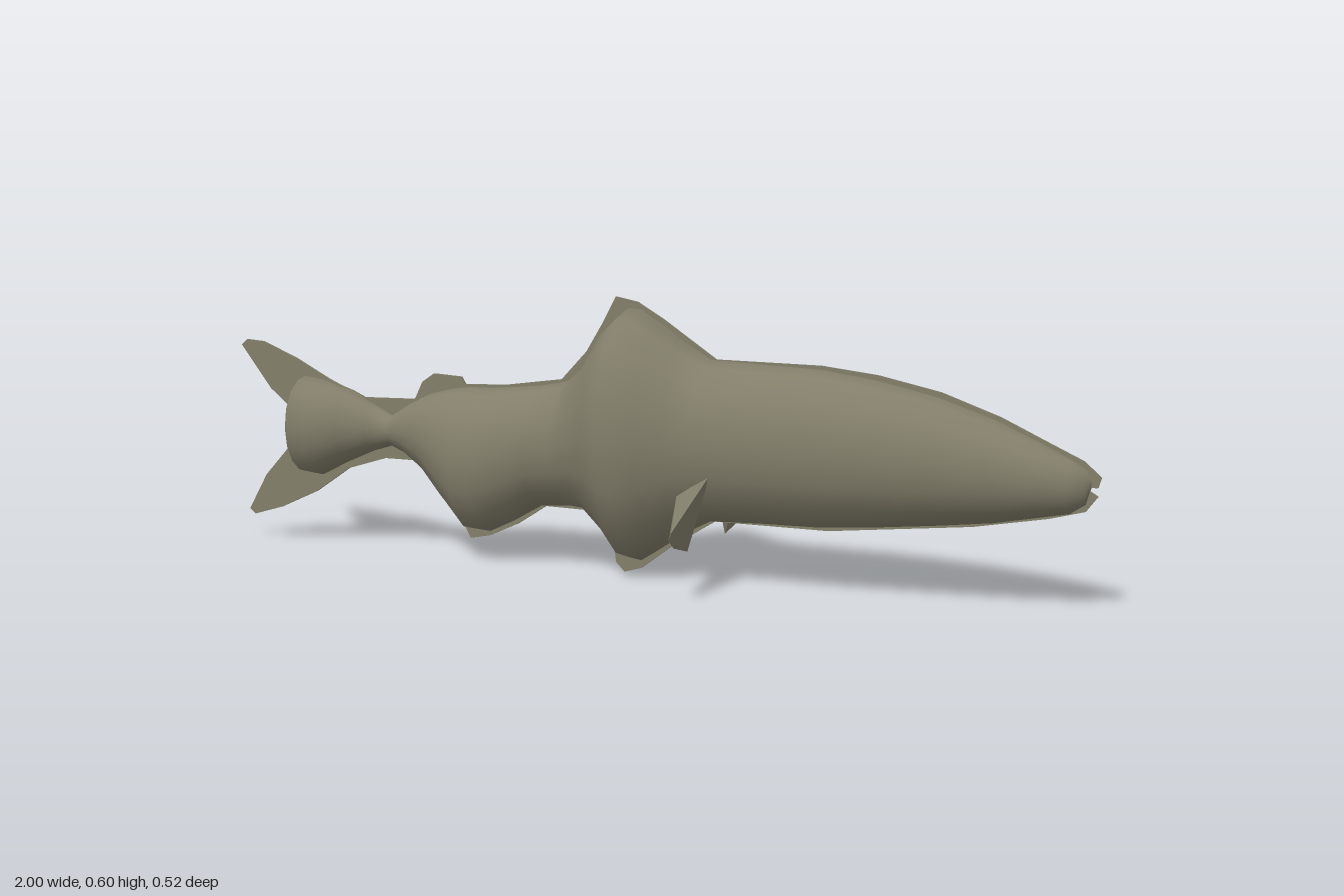
import * as THREE from 'three';

const SIDES = 16;

// Lofts elliptical cross-sections [x, top, bottom, halfWidth] along x
function loft(rings) {
  const pos = [], idx = [];
  rings.forEach(([x, top, bottom, w], i) => {
    for (let j = 0; j < SIDES; j++) {
      const a = (j / SIDES) * Math.PI * 2;
      pos.push(x, (top + bottom) / 2 + Math.cos(a) * (top - bottom) / 2, Math.sin(a) * w);
      if (i === rings.length - 1) continue;
      const k = (j + 1) % SIDES, p = i * SIDES, q = p + SIDES;
      idx.push(p + j, p + k, q + j, p + k, q + k, q + j);
    }
  });
  const g = new THREE.BufferGeometry();
  g.setAttribute('position', new THREE.Float32BufferAttribute(pos, 3));
  g.setIndex(idx);
  g.computeVertexNormals();
  return g;
}

export function createModel() {
  const group = new THREE.Group();
  const skin = new THREE.MeshStandardMaterial({ color: 0x827e6a });
  skin.name = 'olive grey skin';
  const finSkin = skin.clone();
  finSkin.name = 'olive grey fin';
  finSkin.side = THREE.DoubleSide;
  const add = (name, geometry, material) => {
    const mesh = new THREE.Mesh(geometry, material);
    mesh.name = name;
    group.add(mesh);
    return mesh;
  };

  // Body, from tail root to snout
  add('body', loft([
    [-0.868, 0.31, 0.31, 0], [-0.86, 0.345, 0.25, 0.03], [-0.825, 0.39, 0.165, 0.088],
    [-0.78, 0.385, 0.16, 0.087], [-0.71, 0.365, 0.195, 0.062], [-0.64, 0.335, 0.225, 0.045],
    [-0.59, 0.31, 0.24, 0.031], [-0.55, 0.335, 0.225, 0.05], [-0.49, 0.365, 0.185, 0.08],
    [-0.43, 0.38, 0.115, 0.103], [-0.385, 0.385, 0.065, 0.115], [-0.34, 0.386, 0.062, 0.117],
    [-0.28, 0.39, 0.09, 0.11], [-0.21, 0.397, 0.13, 0.103], [-0.14, 0.41, 0.135, 0.108],
    [-0.09, 0.455, 0.13, 0.125], [-0.04, 0.535, 0.085, 0.158], [0, 0.573, 0.035, 0.182],
    [0.03, 0.57, 0.028, 0.18], [0.08, 0.54, 0.06, 0.16], [0.13, 0.505, 0.095, 0.138],
    [0.19, 0.47, 0.126, 0.123], [0.3, 0.465, 0.13, 0.12], [0.43, 0.46, 0.132, 0.119],
    [0.55, 0.443, 0.142, 0.111], [0.67, 0.417, 0.155, 0.1], [0.79, 0.377, 0.17, 0.083],
    [0.88, 0.337, 0.188, 0.065], [0.94, 0.308, 0.2, 0.045], [0.97, 0.29, 0.22, 0.02],
    [0.982, 0.265, 0.265, 0],
  ]), skin);

  // Thin midline plate: tail fin, back fins, jaws and belly fins
  const outline = [
    [-1, 0.455], [-0.985, 0.468], [-0.94, 0.465], [-0.85, 0.43], [-0.76, 0.385], [-0.67, 0.347],
    [-0.53, 0.35], [-0.51, 0.39], [-0.48, 0.41], [-0.41, 0.406], [-0.4, 0.39], [-0.3, 0.393],
    [-0.16, 0.412], [-0.1, 0.475], [-0.06, 0.54], [-0.03, 0.595], [0.02, 0.585], [0.08, 0.55],
    [0.2, 0.47], [0.43, 0.467], [0.55, 0.453], [0.68, 0.425], [0.8, 0.382], [0.9, 0.335],
    [0.965, 0.305], [0.998, 0.275], [0.992, 0.255], [0.965, 0.255], [0.993, 0.238], [0.97, 0.207],
    [0.9, 0.188], [0.75, 0.16], [0.45, 0.127], [0.2, 0.127], [0.1, 0.065], [0.03, 0.012],
    [-0.01, 0], [-0.03, 0.02], [-0.04, 0.1], [-0.06, 0.128], [-0.2, 0.13], [-0.27, 0.085],
    [-0.34, 0.053], [-0.39, 0.043], [-0.405, 0.07], [-0.45, 0.16], [-0.51, 0.21], [-0.61, 0.21],
    [-0.71, 0.18], [-0.8, 0.12], [-0.9, 0.075], [-0.975, 0.053], [-0.99, 0.065], [-0.94, 0.15],
    [-0.86, 0.235], [-0.85, 0.3], [-0.92, 0.355],
  ];
  const shape = new THREE.Shape(outline.map(([x, y]) => new THREE.Vector2(x, y)));
  const plate = new THREE.ExtrudeGeometry(shape, { depth: 0.006, bevelEnabled: false });
  plate.translate(0, 0, -0.003);
  add('midlineFins', plate, finSkin);

  // Paired side fins: triangular root narrowing to a blunt tip
  const A = [0.23, 0.245, 0.105], B = [0.155, 0.195, 0.105], C = [0.18, 0.08, 0.105];
  const M = [0.19, 0.105, 0.2], T = [0.205, 0.133, 0.262], U = [0.21, 0.148, 0.262];
  const faces = [A, C, M, A, M, T, A, T, U, B, M, C, B, T, M, B, U, T, B, A, U];
  for (const side of [1, -1]) {
    const g = new THREE.BufferGeometry();
    g.setAttribute('position', new THREE.Float32BufferAttribute(
      faces.flatMap(([x, y, z]) => [x, y, z * side]), 3));
    // Mirrored corners are reversed to keep faces outward
    g.setIndex(faces.map((_, i) => (side > 0 || i % 3 === 0 ? i : i % 3 === 1 ? i + 1 : i - 1)));
    g.computeVertexNormals();
    add(side > 0 ? 'frontSideFin' : 'backSideFin', g, finSkin);
  }
  return group;
}
